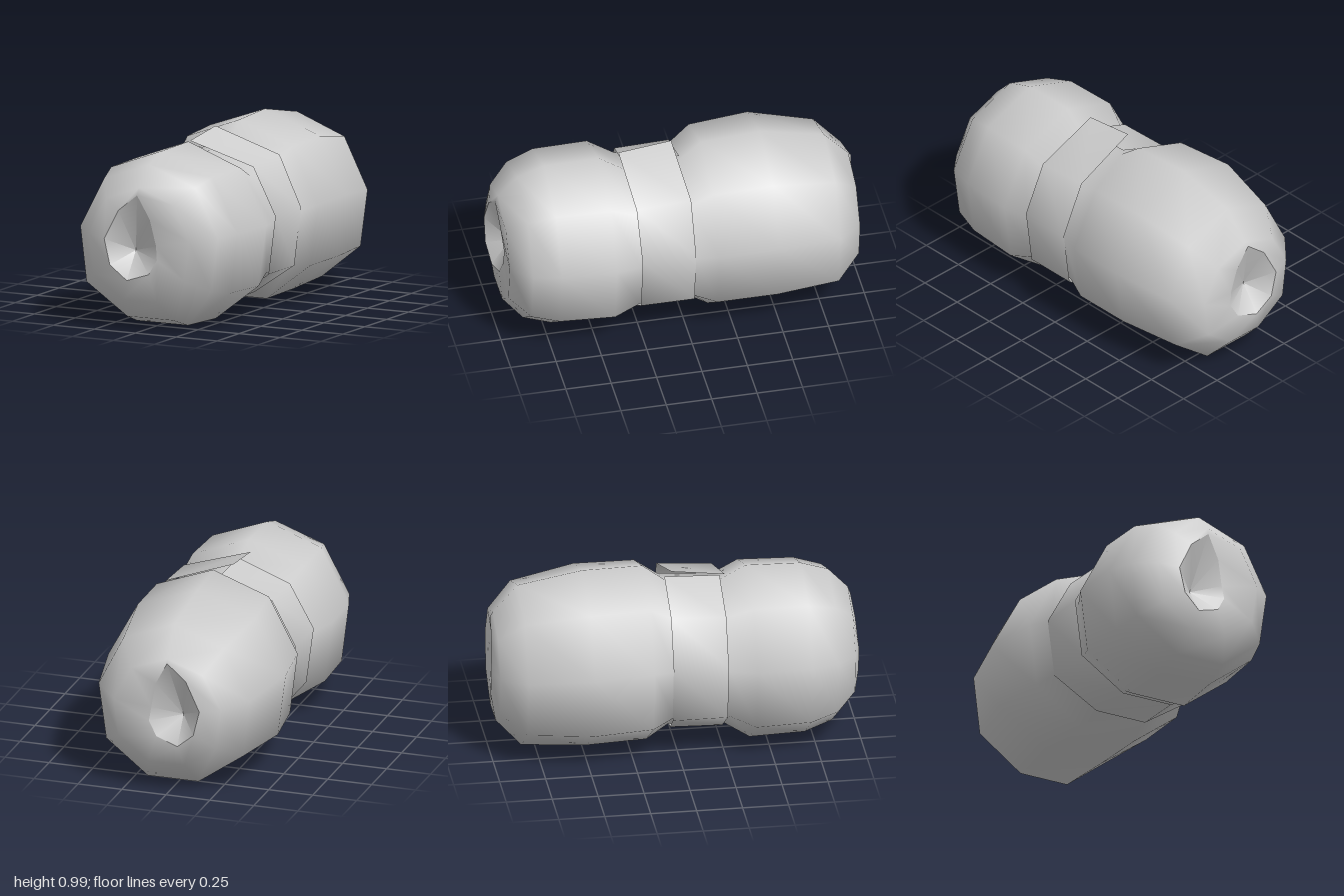
import * as THREE from 'three';

// Nine-sided outline, x from -1 to 1 and y from 0 to 1, counter-clockwise from the top
const OUTLINE = [[0, 1], [-0.66, 0.88], [-1, 0.56], [-0.91, 0.2], [-0.32, 0],
  [0.35, 0], [0.9, 0.21], [1, 0.56], [0.67, 0.875]];

// Outline stretched to the given limits at depth z
function ring([z, left, right, bottom, top]) {
  return OUTLINE.map(([u, v]) => [
    (left + right) / 2 + u * (right - left) / 2, bottom + v * (top - bottom), z]);
}

// Skin through rows of points, listed front to back
function loft(rows, closed = true) {
  const n = rows[0].length, index = [];
  for (let i = 0; i < rows.length - 1; i++) {
    for (let j = 0; j < (closed ? n : n - 1); j++) {
      const k = (j + 1) % n;
      const a = i * n + j, b = i * n + k, c = a + n, d = b + n;
      index.push(a, c, b, b, c, d);
    }
  }
  const geometry = new THREE.BufferGeometry();
  geometry.setAttribute('position', new THREE.Float32BufferAttribute(rows.flat(2), 3));
  geometry.setIndex(index);
  geometry.computeVertexNormals();
  return geometry;
}

export function createModel() {
  const group = new THREE.Group();
  const cloth = new THREE.MeshStandardMaterial({ color: 0xcccccc, side: THREE.DoubleSide });
  cloth.name = 'grey cloth';
  const add = (name, geometry) => {
    const mesh = new THREE.Mesh(geometry, cloth);
    mesh.name = name;
    group.add(mesh);
  };

  // Spiral lip at each end of the roll
  const lip = [[0, 0.75, 0.98], [-0.11, 0.66, 0.99], [-0.19, 0.5, 1], [-0.155, 0.36, 1],
    [-0.06, 0.28, 0.985], [0.065, 0.32, 0.97], [0.11, 0.4, 0.96], [0.1, 0.475, 0.95],
    [0.07, 0.62, 0.965]];
  const backLip = lip.map(([x, y, z]) => [x, y, -z]);

  // Padded roll, pinched where the strap goes round
  const rings = [
    [0.965, -0.3, 0.31, 0.17, 0.79],
    [0.86, -0.41, 0.43, 0.06, 0.9],
    [0.71, -0.46, 0.47, 0.01, 0.95],
    [0.41, -0.467, 0.485, 0, 0.955],
    [0.27, -0.4, 0.45, 0.08, 0.87],
    [-0.03, -0.4, 0.455, 0.09, 0.89],
    [-0.15, -0.46, 0.5, 0.02, 0.985],
    [-0.48, -0.505, 0.503, 0.02, 0.99],
    [-0.83, -0.42, 0.44, 0.03, 0.92],
    [-0.965, -0.3, 0.31, 0.17, 0.77],
  ].map(ring);
  add('roll', loft([lip, ...rings, backLip]));

  // Sunken ends inside the lips
  const core = (z) => lip.map(() => [-0.06, 0.43, z]);
  add('frontHollow', loft([core(0.88), lip]));
  add('backHollow', loft([backLip, core(-0.88)]));

  // Strap: runs down the left from the top, round, and ends in a raised flap.
  // Each entry is x, y, front z, back z, lift of the back edge
  const strap = [
    [0.02, 0.9, 0.27, -0.03, 0.01], [-0.275, 0.79, 0.265, -0.035, 0.01],
    [-0.412, 0.55, 0.26, -0.04, 0], [-0.37, 0.235, 0.26, -0.04, 0],
    [-0.12, 0.068, 0.265, -0.02, 0.008], [0.18, 0.068, 0.265, -0.02, 0.008],
    [0.42, 0.24, 0.265, -0.03, 0], [0.462, 0.56, 0.265, -0.03, 0],
    [0.33, 0.82, 0.27, -0.03, 0.02], [-0.045, 0.935, 0.29, 0, 0.035],
  ];
  add('strap', loft([
    strap.map(([x, y, front]) => [x, y, front]),
    strap.map(([x, y, , back, lift]) => [x, y + lift, back]),
  ], false));

  return group;
}
